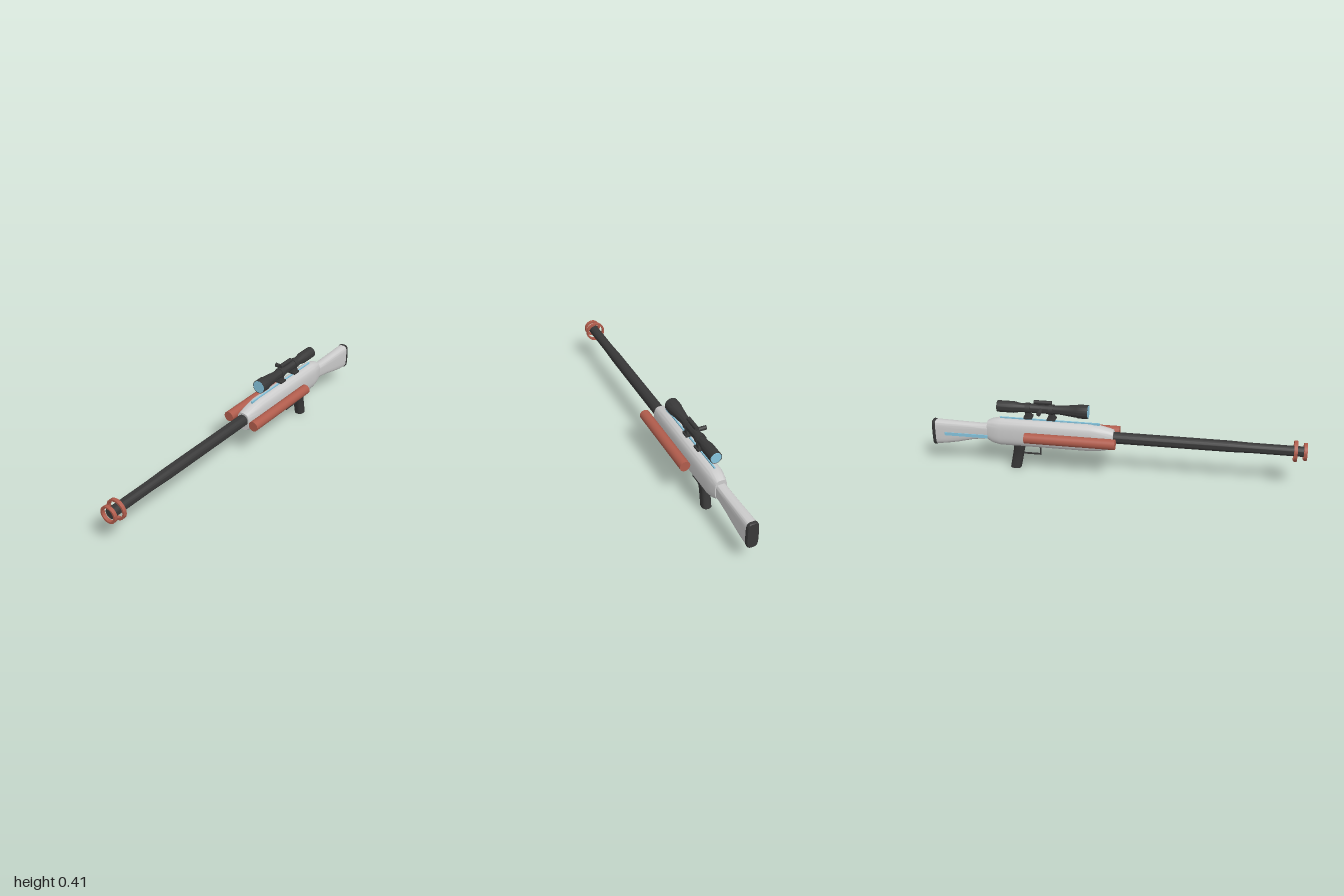
import * as THREE from 'three';
import { toCreasedNormals } from 'three/addons/utils/BufferGeometryUtils.js';

const grey = new THREE.MeshStandardMaterial({ color: 0xcccccc });
const dark = new THREE.MeshStandardMaterial({ color: 0x383838 });
const red = new THREE.MeshStandardMaterial({ color: 0xb05c4c });
const blue = new THREE.MeshStandardMaterial({ color: 0x86c5de });

const AXIS_Y = 0.218; // bore height
const SCOPE_Y = 0.357; // scope centre height

// Capped loft of rounded sections [z, halfWidth, yLow, yHigh], z decreasing
function loft(sections, power, sides = 40) {
  const pos = [], idx = [];
  const addRing = ([z, w, lo, hi]) => {
    const start = pos.length / 3;
    for (let j = 0; j < sides; j++) {
      const a = (j / sides) * Math.PI * 2, c = Math.cos(a), s = Math.sin(a);
      const x = Math.sign(c) * Math.abs(c) ** (2 / power) * w;
      const y = (lo + hi) / 2 + Math.sign(s) * Math.abs(s) ** (2 / power) * (hi - lo) / 2;
      pos.push(x, y, z);
    }
    return start;
  };
  const rings = sections.map(addRing);
  for (let i = 0; i + 1 < rings.length; i++) {
    for (let j = 0; j < sides; j++) {
      const k = (j + 1) % sides, a = rings[i], b = rings[i + 1];
      idx.push(a + j, b + j, a + k, a + k, b + j, b + k);
    }
  }
  [sections[0], sections[sections.length - 1]].forEach((s, end) => {
    const r = addRing(s), centre = pos.length / 3;
    pos.push(0, (s[2] + s[3]) / 2, s[0]);
    for (let j = 0; j < sides; j++) {
      const k = (j + 1) % sides;
      idx.push(centre, r + (end ? k : j), r + (end ? j : k));
    }
  });
  const g = new THREE.BufferGeometry();
  g.setAttribute('position', new THREE.Float32BufferAttribute(pos, 3));
  g.setIndex(idx);
  return toCreasedNormals(g, 0.6);
}

// Turned part along z from [radius, z] points, z increasing
function turned(points, sides = 40) {
  const g = new THREE.LatheGeometry(points.map(([r, z]) => new THREE.Vector2(r, z)), sides);
  return toCreasedNormals(g.rotateX(Math.PI / 2), 0.5);
}

export function createModel() {
  const model = new THREE.Group();
  model.name = 'scopedRifle';
  const add = (name, geometry, material, x = 0, y = 0, z = 0, parent = model) => {
    const m = new THREE.Mesh(geometry, material);
    m.name = name;
    m.position.set(x, y, z);
    parent.add(m);
    return m;
  };
  const box = (w, h, d) => new THREE.BoxGeometry(w, h, d);
  const rodZ = (r, length) => new THREE.CylinderGeometry(r, r, length, 32).rotateX(Math.PI / 2);

  // Receiver: bulging body that narrows at both ends
  add('receiver', loft([
    [-0.005, 0.036, 0.158, 0.26], [-0.03, 0.039, 0.15, 0.267], [-0.08, 0.044, 0.14, 0.279],
    [-0.13, 0.047, 0.135, 0.288], [-0.62, 0.047, 0.135, 0.288], [-0.66, 0.04, 0.142, 0.28],
    [-0.69, 0.032, 0.157, 0.268],
  ], 2.9), grey);
  add('topRail', box(0.007, 0.012, 0.54), blue, 0, 0.289, -0.35);

  // Stock with butt pad and one side strip
  add('stock', loft([
    [-0.67, 0.027, 0.165, 0.246], [-0.72, 0.027, 0.162, 0.244], [-0.78, 0.028, 0.152, 0.245],
    [-0.86, 0.029, 0.132, 0.247], [-0.93, 0.03, 0.118, 0.249], [-0.986, 0.03, 0.112, 0.25],
  ], 4), grey);
  add('buttPad', loft([
    [-0.982, 0.031, 0.109, 0.252], [-0.995, 0.031, 0.109, 0.252], [-1, 0.028, 0.112, 0.249],
  ], 4), dark);
  add('stockStrip', box(0.006, 0.018, 0.24), blue, -0.0285, 0.182, -0.81);

  // Barrel, slightly tapered, with two loose muzzle rings
  add('barrel', turned([[0, -0.03], [0.031, -0.03], [0.03, 0.6], [0.027, 0.72], [0.027, 0.985], [0, 0.985]]),
    dark, 0, AXIS_Y, 0);
  for (const [inner, outer, z] of [[0.036, 0.046, 0.991], [0.044, 0.055, 0.941]]) {
    const h = 0.009;
    add('muzzleRing', turned([[inner, -h], [outer, -h], [outer, h], [inner, h], [inner, -h]]), red, 0, AXIS_Y, z);
  }

  // Side tubes
  for (const side of [-1, 1]) {
    add(side > 0 ? 'leftTube' : 'rightTube', rodZ(0.028, 0.485), red, side * 0.081, AXIS_Y, -0.2275);
  }

  // Grip: lofted downwards, leaning back
  add('grip', loft([
    [0.15, 0.031, 0.486, 0.55], [0.125, 0.031, 0.489, 0.552], [0.11, 0.026, 0.494, 0.553],
    [0.05, 0.025, 0.506, 0.565], [0, 0.025, 0.517, 0.575],
  ], 2.6, 32).rotateX(-Math.PI / 2), dark);

  // Trigger guard
  const guard = new THREE.Group();
  guard.name = 'triggerGuard';
  model.add(guard);
  add('guardFront', box(0.008, 0.06, 0.007), dark, 0, 0.113, -0.406, guard);
  add('guardBottom', box(0.008, 0.007, 0.1), dark, 0, 0.0865, -0.4525, guard);

  // Scope
  const scope = new THREE.Group();
  scope.name = 'scope';
  scope.position.y = SCOPE_Y;
  model.add(scope);
  add('scopeBody', turned([
    [0, -0.625], [0.028, -0.625], [0.031, -0.63], [0.031, -0.54], [0.024, -0.505], [0.024, -0.29],
    [0.034, -0.2], [0.037, -0.19], [0.037, -0.14], [0.034, -0.14], [0.034, -0.145], [0, -0.145],
  ]), dark, 0, 0, 0, scope);
  add('frontLens', rodZ(0.0345, 0.006), blue, 0, 0, -0.1425, scope);
  add('rearLens', rodZ(0.0275, 0.006), blue, 0, 0, -0.6275, scope);
  add('topTurret', rodZ(0.011, 0.095), dark, 0, 0.037, -0.383, scope);
  add('turretBase', box(0.014, 0.025, 0.07), dark, 0, 0.024, -0.383, scope);
  add('sideKnob', new THREE.CylinderGeometry(0.0115, 0.0115, 0.055, 24).rotateZ(Math.PI / 2),
    dark, -0.0415, 0, -0.392, scope);

  // Scope mounts: clamp band, flared stem and foot
  for (const z of [-0.338, -0.465]) {
    add('mountBand', rodZ(0.028, 0.026), dark, 0, 0, z, scope);
    add('mountStem', loft([
      [0.34, 0.016, -0.012, 0.012], [0.31, 0.017, -0.019, 0.019],
    ], 8, 32).rotateX(-Math.PI / 2), dark, 0, -SCOPE_Y, z, scope);
    add('mountFoot', box(0.046, 0.011, 0.044), dark, 0, 0.3055 - SCOPE_Y, z, scope);
  }
  return model;
}
